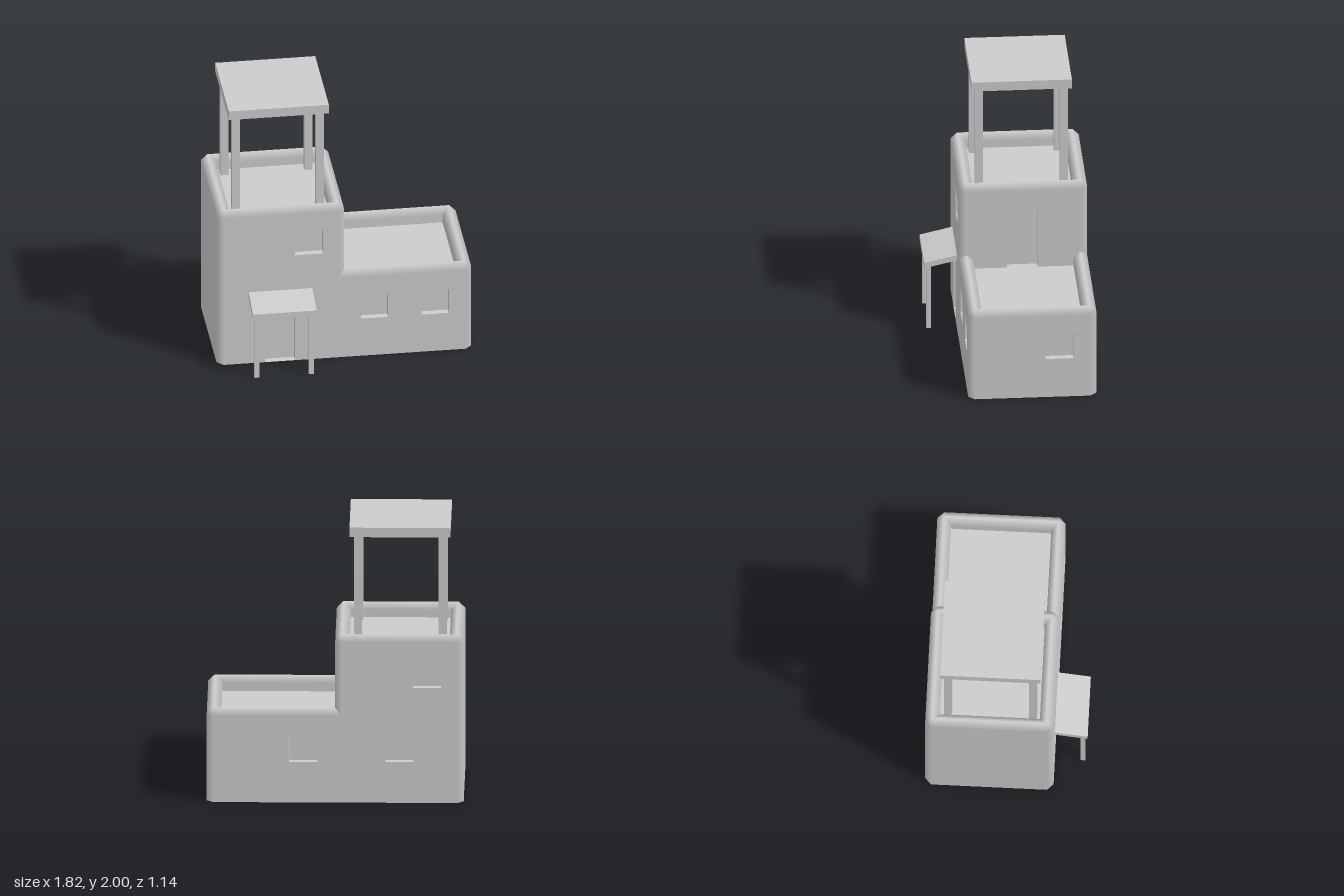
import * as THREE from 'three';

const mat = new THREE.MeshStandardMaterial({ color: 0xcccccc, side: THREE.DoubleSide });
const BEVEL = 0.045, THICK = 0.1, RECESS = 0.05;

function add(parent, geometry, name, x = 0, y = 0, z = 0) {
  const mesh = new THREE.Mesh(geometry, mat);
  mesh.name = name;
  mesh.position.set(x, y, z);
  parent.add(mesh);
  return mesh;
}

// Box given by its extents
function box(parent, name, x0, x1, y0, y1, z0, z1) {
  return add(parent, new THREE.BoxGeometry(x1 - x0, y1 - y0, z1 - z0), name,
    (x0 + x1) / 2, (y0 + y1) / 2, (z0 + z1) / 2);
}

// Flat wall with openings [u0, u1, y0, y1]; each opening gets a shallow blind recess
function wall(parent, name, angle, u0, u1, y0, y1, dist, openings = []) {
  const group = new THREE.Group();
  group.name = name;
  group.rotation.y = angle;
  parent.add(group);

  const shape = new THREE.Shape();
  shape.moveTo(u0, y0);
  for (const [a, b, bottom, top] of openings) {
    if (bottom > y0) continue;
    shape.lineTo(a, y0).lineTo(a, top).lineTo(b, top).lineTo(b, y0);
  }
  shape.lineTo(u1, y0).lineTo(u1, y1).lineTo(u0, y1);
  for (const [a, b, bottom, top] of openings) {
    if (bottom > y0) {
      shape.holes.push(new THREE.Path().moveTo(a, bottom).lineTo(a, top).lineTo(b, top).lineTo(b, bottom));
    }
    const isDoor = bottom <= y0;
    const recess = box(group, isDoor ? 'doorRecess' : 'windowRecess', a, b, bottom, top, dist - RECESS, dist);
    // drop the outward face so the recess is open
    const index = Array.from(recess.geometry.index.array);
    index.splice(24, 6);
    recess.geometry.setIndex(index);
    recess.geometry.clearGroups();
  }
  add(group, new THREE.ShapeGeometry(shape), 'wallFace', 0, 0, dist);
}

// Eight-point ring of a rectangle with cut corners; each point keeps its wall's direction
function ring({ x0, x1, z0, z1 }, inset) {
  const c = Math.max(0, BEVEL - inset);
  const a = x0 + inset, b = x1 - inset, f = z1 - inset, k = z0 + inset;
  return [
    [a + c, f, 0, 1], [b - c, f, 0, 1], [b, f - c, 1, 0], [b, k + c, 1, 0],
    [b - c, k, 0, -1], [a + c, k, 0, -1], [a, k + c, -1, 0], [a, f - c, -1, 0],
  ];
}

// Soft-edged parapet plus the bevelled vertical corners
function parapet(rect, base, floor, top) {
  const profile = [ // inset, height, outward normal, upward normal
    [0, base, 1, 0], [0, top - BEVEL, 1, 0], [BEVEL, top, 0, 1],
    [THICK - BEVEL, top, 0, 1], [THICK, top - BEVEL, -1, 0], [THICK, floor, -1, 0],
  ];
  const pos = [], nor = [], idx = [];
  for (const [inset, y, out, up] of profile) {
    for (const [x, z, nx, nz] of ring(rect, inset)) {
      pos.push(x, y, z);
      nor.push(nx * out, up, nz * out);
    }
  }
  for (let r = 0; r < profile.length - 1; r++) {
    for (let k = 0; k < 8; k++) {
      if (r === 0 && k % 2 === 0) continue; // the flat walls fill these
      const a = r * 8 + k, b = r * 8 + (k + 1) % 8;
      idx.push(a, b, b + 8, a, b + 8, a + 8);
    }
  }
  const g = new THREE.BufferGeometry();
  g.setAttribute('position', new THREE.Float32BufferAttribute(pos, 3));
  g.setAttribute('normal', new THREE.Float32BufferAttribute(nor, 3));
  g.setIndex(idx);
  return g;
}

// One storey: four walls, parapet and sunken roof
function storey(parent, name, rect, base, rightBase, floor, top, holes) {
  const group = new THREE.Group();
  group.name = name;
  parent.add(group);
  const { x0, x1, z0, z1 } = rect, e = BEVEL, h = top - BEVEL;
  wall(group, 'frontWall', 0, x0 + e, x1 - e, base, h, z1, holes.front);
  wall(group, 'sideWallWithOpening', Math.PI / 2, e - z1, -z0 - e, rightBase, h, x1, holes.side);
  wall(group, 'backWall', Math.PI, e - x1, -x0 - e, base, h, -z0, holes.back);
  wall(group, 'plainSideWall', -Math.PI / 2, z0 + e, z1 - e, base, h, -x0);
  add(group, parapet(rect, base, floor, top), 'parapet');
  const deck = new THREE.PlaneGeometry(x1 - x0 - 0.06, z1 - z0 - 0.06).rotateX(-Math.PI / 2);
  add(group, deck, 'roofDeck', (x0 + x1) / 2, floor, (z0 + z1) / 2);
}

export function createModel() {
  const model = new THREE.Group();
  model.name = 'watchtowerHouse';

  // Ground floor and upper room
  storey(model, 'groundFloor', { x0: -0.91, x1: 0.91, z0: -0.57, z1: 0.34 }, 0, 0, 0.58, 0.685, {
    front: [[-0.565, -0.355, 0, 0.5], [0.115, 0.31, 0.3, 0.49], [0.55, 0.745, 0.3, 0.49]],
    side: [[0.205, 0.405, 0.3, 0.49]],
    back: [[-0.325, -0.125, 0.3, 0.49], [0.355, 0.555, 0.3, 0.49]],
  });
  storey(model, 'upperRoom', { x0: -0.91, x1: 0, z0: -0.57, z1: 0.34 }, 0.64, 0.58, 1.13, 1.23, {
    front: [[-0.355, -0.155, 0.85, 1.04]],
    side: [[0, 0.215, 0.58, 1.03]],
    back: [[0.55, 0.75, 0.85, 1.04]],
  });

  // Lookout shelter on four posts
  const shelter = new THREE.Group();
  shelter.name = 'lookoutShelter';
  model.add(shelter);
  for (const x of [-0.76, -0.16]) {
    for (const z of [0.19, -0.412]) {
      box(shelter, 'shelterPost', x - 0.029, x + 0.029, 1.13, 1.93, z - 0.028, z + 0.028);
    }
  }
  box(shelter, 'shelterRoof', -0.815, -0.1, 1.93, 2, -0.467, 0.245);

  // Sloping porch canopy over the front door
  const porch = new THREE.Group();
  porch.name = 'porch';
  model.add(porch);
  const side = new THREE.Shape()
    .moveTo(0.335, 0.535).lineTo(0.572, 0.48).lineTo(0.572, 0.522).lineTo(0.335, 0.577);
  const canopy = new THREE.ExtrudeGeometry(side, { depth: 0.455, bevelEnabled: false });
  add(porch, canopy.rotateY(-Math.PI / 2), 'porchCanopy', -0.232);
  for (const x of [-0.657, -0.267]) {
    box(porch, 'porchPost', x - 0.018, x + 0.018, 0, 0.488, 0.522, 0.556);
  }
  return model;
}
